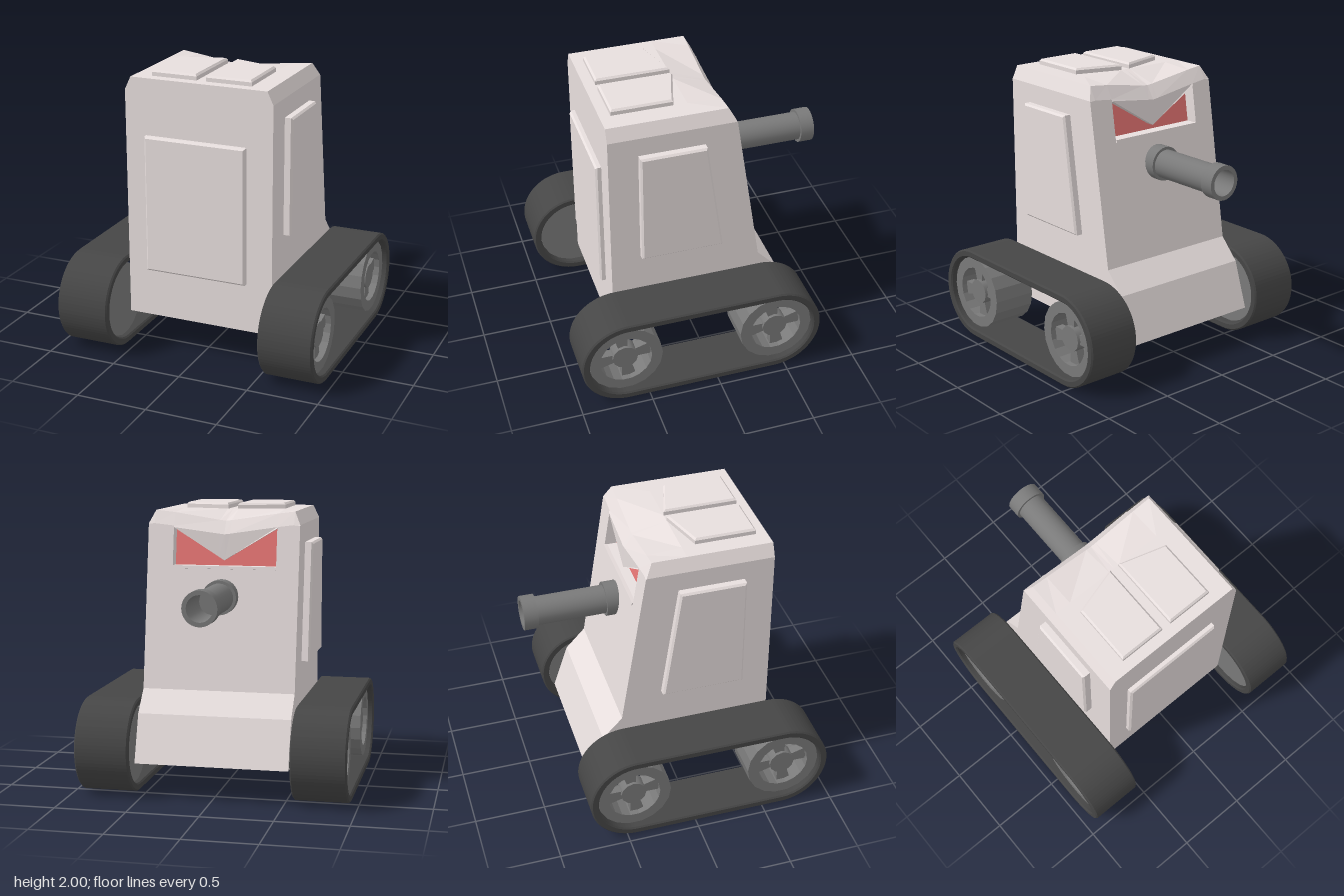
import * as THREE from 'three';

const mat = (name, color) => {
  const m = new THREE.MeshStandardMaterial({ color });
  m.name = name;
  return m;
};

export function createModel() {
  const shell = mat('pale warm grey', 0xe7dedd);
  const rubber = mat('charcoal', 0x464646);
  const metal = mat('mid grey', 0x7a7a7a);
  const red = mat('eye red', 0xee7a78);
  const model = new THREE.Group();

  const add = (name, geometry, material, parent = model) => {
    const mesh = new THREE.Mesh(geometry, material);
    mesh.name = name;
    parent.add(mesh);
    return mesh;
  };
  const shapeOf = (pts) => new THREE.Shape(pts.map(([x, y]) => new THREE.Vector2(x, y)));

  // Plate with a bevelled rim, base near z = 0 and face at z = depth
  const plate = (pts, depth, b = 0.013) => new THREE.ExtrudeGeometry(shapeOf(pts), {
    depth: depth - b, bevelEnabled: true, bevelSize: b, bevelOffset: -b, bevelThickness: b, bevelSegments: 1,
  });

  // Solid through (z, y) cross-sections placed along x, flat faces
  const loft = (sections) => {
    const pos = [];
    const put = (s, i) => pos.push(s.x, s.pts[i][1], s.pts[i][0]);
    const n = sections[0].pts.length;
    for (let k = 0; k < sections.length - 1; k++) {
      const a = sections[k], b = sections[k + 1];
      for (let i = 0; i < n; i++) {
        const j = (i + 1) % n;
        put(a, i); put(b, i); put(b, j);
        put(a, i); put(b, j); put(a, j);
      }
    }
    const cap = (s, flip) => {
      const contour = s.pts.map(([z, y]) => new THREE.Vector2(z, y));
      for (const [a, b, c] of THREE.ShapeUtils.triangulateShape(contour, [])) {
        put(s, a); put(s, flip ? c : b); put(s, flip ? b : c);
      }
    };
    cap(sections[0], false);
    cap(sections[sections.length - 1], true);
    const g = new THREE.BufferGeometry();
    g.setAttribute('position', new THREE.Float32BufferAttribute(pos, 3));
    g.computeVertexNormals();
    return g;
  };

  // Body: sloped back with a kicked-out skirt; the top sags at the middle of the brow
  const slopeZ = (y) => -0.24 - (1.87 - y) * 0.158;
  const onSlope = (y) => [slopeZ(y), y];
  const eyeL = 0.35, eyeR = -0.38, eyeBottom = 1.58, eyeTop = 1.845, top = 1.96;
  const skirt = [onSlope(0.73), [-0.56, 0.58], [-0.67, 0.25]];
  const plain = [eyeTop, eyeTop - 0.01, eyeBottom + 0.01, eyeBottom].map(onSlope);
  const section = (x, dip, notch = plain) => ({
    x, pts: [[0.645, 0.25], [0.645, top], [0.05, top], [-0.19, top - dip],
      onSlope(1.87 - dip), ...notch, ...skirt],
  });
  const edge = (x) => ({
    x, pts: [[0.645, 0.25], [0.645, 1.87], [0.05, 1.87], [-0.236, 1.87], onSlope(1.865), ...plain, ...skirt],
  });
  // Eye socket recess below the brow line
  const socket = (x, dip, browY) => section(x, dip, [
    [-0.25, browY], [slopeZ(browY) + 0.11, browY], [slopeZ(eyeBottom) + 0.11, eyeBottom], onSlope(eyeBottom),
  ]);
  add('body', loft([
    edge(-0.538), section(-0.495, 0), section(eyeR, 0.015),
    socket(eyeR, 0.015, eyeTop), socket(-0.05, 0.065, 1.645), socket(-0.01, 0.07, 1.62),
    socket(0.03, 0.065, 1.645), socket(eyeL, 0.015, eyeTop),
    section(eyeL, 0.015), section(0.49, 0), edge(0.532),
  ]), shell);

  const eyeTilt = Math.atan(0.158);
  const eyeMid = (eyeL + eyeR) / 2;
  const eyes = add('eyes', new THREE.BoxGeometry(eyeL - eyeR, 0.29, 0.006), red);
  eyes.position.set(eyeMid, 1.715, slopeZ(1.715) + 0.09);
  eyes.rotation.x = eyeTilt;
  const lip = add('eyeSocketLip', new THREE.BoxGeometry(eyeL - eyeR, 0.02, 0.03), shell);
  lip.position.set(eyeMid, eyeBottom - 0.008, slopeZ(eyeBottom) + 0.006);
  lip.rotation.x = eyeTilt;

  // Large panel on the flat end
  const door = add('frontPanel', plate([[-0.387, 0.597], [0.347, 0.597], [0.347, 1.565], [-0.387, 1.565]], 0.05), shell);
  door.position.z = 0.635;

  // Side panels, mirrored
  for (const s of [1, -1]) {
    const pts = [[0.44, 0.912], [0.44, 1.737], [-0.02, 1.737], [-0.138, 0.912]]
      .map(([z, y]) => [-s * z, y]);
    const panel = add(s > 0 ? 'leftSidePanel' : 'rightSidePanel', plate(pts, 0.07), shell);
    panel.rotation.y = s * Math.PI / 2;
    panel.position.x = s * 0.522 - 0.004;
  }

  // Twin roof hatches
  for (const s of [1, -1]) {
    const pts = [[0.034, 0.57], [0.36, 0.57], [0.36, 0.145], [0.034, 0.05]].map(([x, z]) => [s * x, -z]);
    const hatch = add(s > 0 ? 'leftHatch' : 'rightHatch', plate(pts, 0.05), shell);
    hatch.rotation.x = -Math.PI / 2;
    hatch.position.set(-0.01, 1.95, 0);
  }

  // Cannon: collar, barrel and hollow muzzle, one lathe per surface for crisp rims
  const cannonPath = [[0.12, 0.24], [0.12, 0.395], [0.1, 0.395], [0.1, 0.878], [0.12, 0.878],
    [0.12, 0.975], [0.09, 0.975], [0.09, 0.6], [0, 0.6]];
  const cannon = new THREE.Group();
  cannon.name = 'cannon';
  for (let i = 0; i < cannonPath.length - 1; i++) {
    const part = [cannonPath[i], cannonPath[i + 1]].map(([r, h]) => new THREE.Vector2(r, h));
    add('cannonSurface', new THREE.LatheGeometry(part, 28), metal, cannon);
  }
  cannon.rotation.x = -Math.PI / 2;
  cannon.position.set(-0.003, 1.375, 0);
  model.add(cannon);

  // Tracks and wheels, each unit centred on its own middle
  const half = 0.535, R = 0.33;
  const stadium = (path, r) => {
    path.absarc(half, 0, r, -Math.PI / 2, Math.PI / 2, false);
    path.absarc(-half, 0, r, Math.PI / 2, Math.PI * 1.5, false);
    path.closePath();
    return path;
  };
  const trackShape = stadium(new THREE.Shape(), R - 0.01);
  trackShape.holes.push(stadium(new THREE.Path(), R - 0.045));
  const trackGeo = new THREE.ExtrudeGeometry(trackShape, {
    depth: 0.362, bevelEnabled: true, bevelSize: 0.01, bevelThickness: 0.01, bevelSegments: 1, curveSegments: 20,
  });
  const rimShape = new THREE.Shape().absarc(0, 0, 0.262, 0, Math.PI * 2, false);
  rimShape.holes.push(new THREE.Path().absarc(0, 0, 0.185, 0, Math.PI * 2, true));
  const rimGeo = new THREE.ExtrudeGeometry(rimShape, { depth: 0.31, bevelEnabled: false, curveSegments: 9 });
  const hubGeo = new THREE.CylinderGeometry(0.09, 0.09, 0.1, 12).rotateX(Math.PI / 2);
  const spokeGeo = new THREE.ExtrudeGeometry(
    shapeOf([[-0.032, 0.07], [0.032, 0.07], [0.05, 0.188], [-0.05, 0.188]]),
    { depth: 0.06, bevelEnabled: false });
  const backGeo = new THREE.CircleGeometry(0.262, 18).rotateY(Math.PI);

  for (const s of [1, -1]) {
    const unit = new THREE.Group();
    unit.name = s > 0 ? 'leftTrackUnit' : 'rightTrackUnit';
    add('track', trackGeo, rubber, unit).position.z = 0.01;
    for (const x of [0.546, -0.546]) {
      const wheel = new THREE.Group();
      wheel.name = 'wheel';
      add('rim', rimGeo, metal, wheel).position.z = 0.03;
      add('hub', hubGeo, metal, wheel).position.z = 0.27;
      add('innerDisc', backGeo, metal, wheel).position.z = 0.028;
      for (let i = 0; i < 4; i++) {
        const spoke = add('spoke', spokeGeo, metal, wheel);
        spoke.rotation.z = i * Math.PI / 2 + 0.14;
        spoke.position.z = 0.24;
      }
      wheel.position.x = x;
      unit.add(wheel);
    }
    // Local +z points outward on each side
    unit.rotation.y = s * Math.PI / 2;
    unit.position.set(s * 0.558, R, 0.11);
    model.add(unit);
  }
  return model;
}
